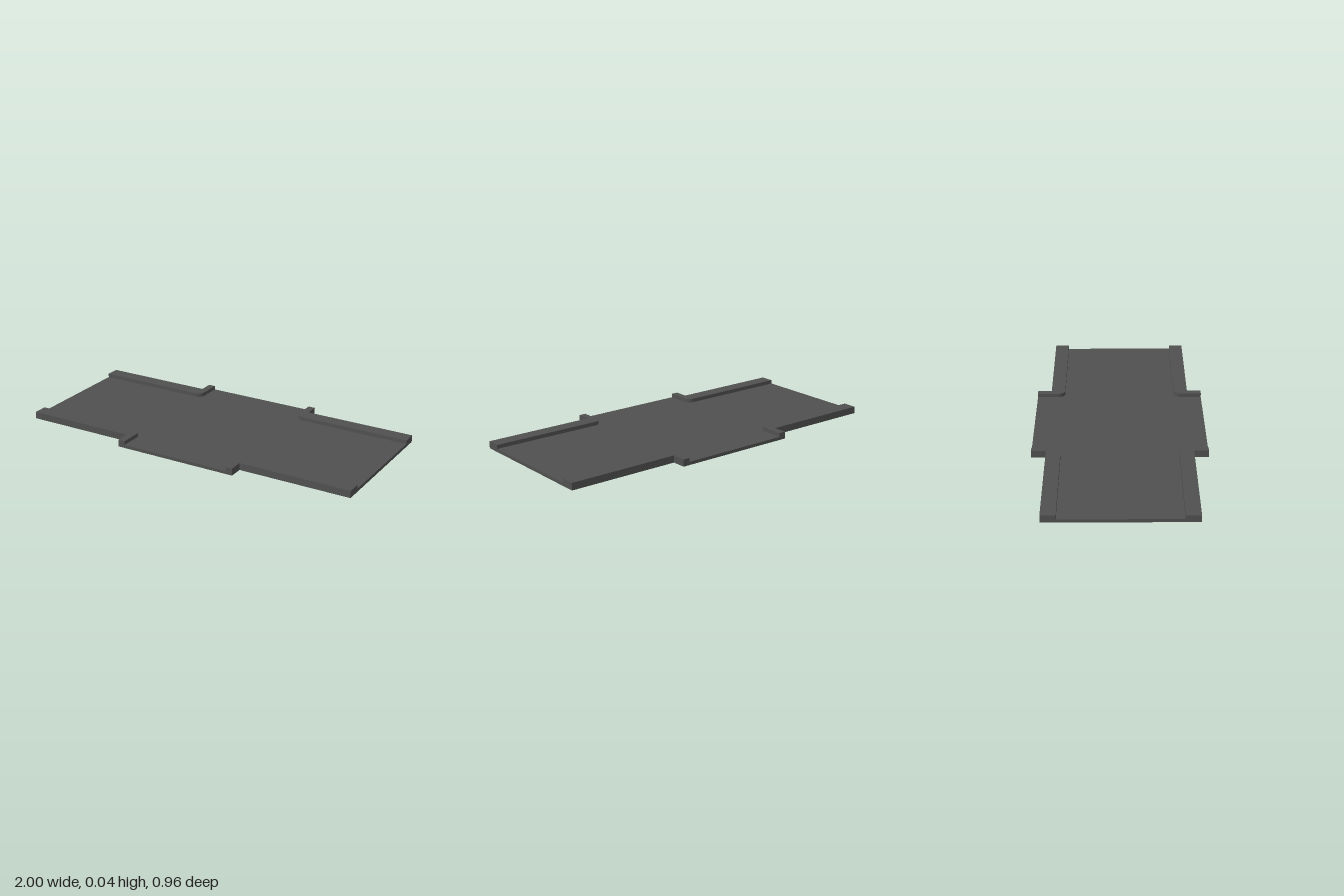
import * as THREE from 'three';

const FLOOR = 0.018; // slab thickness
const TOP = 0.04;    // height of the kerb tops

// Extrudes a plan outline upwards from y = base to y = top
function slab(shape, base, top, material, name) {
  const geometry = new THREE.ExtrudeGeometry(shape, { depth: top - base, bevelEnabled: false, curveSegments: 6 });
  geometry.rotateX(-Math.PI / 2).translate(0, base, 0);
  const mesh = new THREE.Mesh(geometry, material);
  mesh.name = name;
  return mesh;
}

export function createModel() {
  const group = new THREE.Group();
  group.name = 'roadSection';
  const asphalt = new THREE.MeshStandardMaterial({ color: 0x505050 });
  asphalt.name = 'dark grey';

  // Cross-shaped floor: a long road with a wider middle
  const quarter = [[1, 0.4], [0.36, 0.4], [0.36, 0.48]];
  const half = [...quarter, ...quarter.map(([x, z]) => [-x, z]).reverse()];
  const outline = [...half, ...half.map(([x, z]) => [x, -z]).reverse()];
  const floorShape = new THREE.Shape(outline.map(([x, z]) => new THREE.Vector2(x, z)));
  group.add(slab(floorShape, 0, FLOOR, asphalt, 'floor'));

  // Four L-shaped kerbs with a rounded inner corner
  const corner = Array.from({ length: 7 }, (_, i) => {
    const a = Math.PI + (i / 6) * Math.PI / 2;
    return [0.36 + 0.04 * Math.cos(a), 0.36 + 0.04 * Math.sin(a)];
  });
  const kerb = [[1, 0.4], [0.36, 0.4], [0.36, 0.48], [0.32, 0.48], ...corner, [1, 0.32]];
  for (const sx of [1, -1]) {
    for (const sy of [1, -1]) {
      const shape = new THREE.Shape(kerb.map(([x, y]) => new THREE.Vector2(sx * x, sy * y)));
      const name = (sy < 0 ? 'front' : 'back') + (sx > 0 ? 'Left' : 'Right') + 'Kerb';
      group.add(slab(shape, FLOOR, TOP, asphalt, name));
    }
  }
  return group;
}
